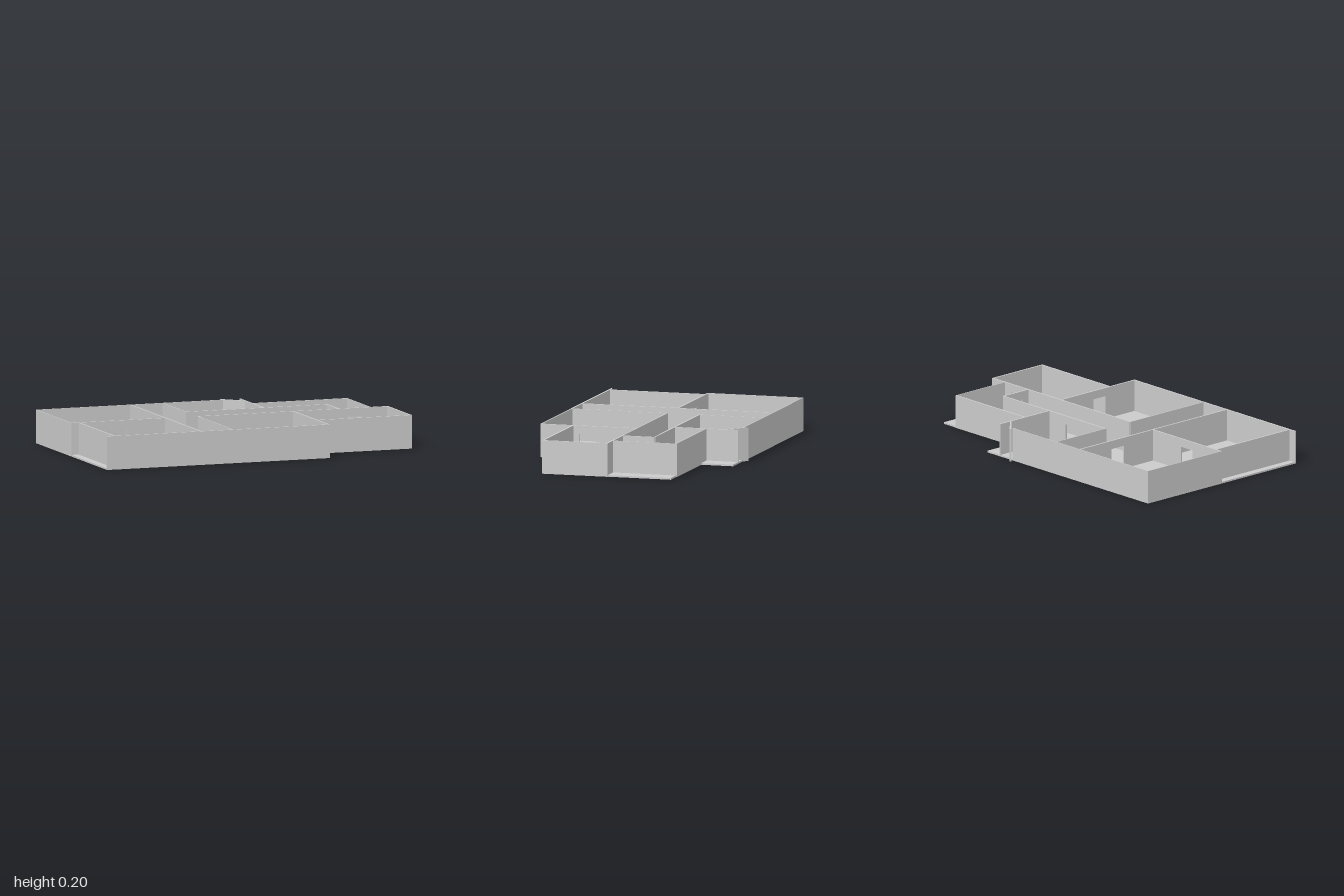
import * as THREE from 'three';

const HEIGHT = 0.2, DOOR_HEIGHT = 0.15, SLAB = 0.01;
const material = new THREE.MeshStandardMaterial({ color: 0xcccccc, flatShading: true });

// Upright panel from (x0, z0) to (x1, z1); door = [start, end] distances along it
function wall(name, x0, z0, x1, z1, thickness = 0.01, door = null) {
  const length = Math.hypot(x1 - x0, z1 - z0);
  const outline = [[0, 0]];
  if (door) outline.push([door[0], 0], [door[0], DOOR_HEIGHT], [door[1], DOOR_HEIGHT], [door[1], 0]);
  outline.push([length, 0], [length, HEIGHT], [0, HEIGHT]);
  const shape = new THREE.Shape(outline.map(([x, y]) => new THREE.Vector2(x, y)));
  const geometry = new THREE.ExtrudeGeometry(shape, { depth: thickness, bevelEnabled: false });
  geometry.translate(0, 0, -thickness / 2);
  const mesh = new THREE.Mesh(geometry, material);
  mesh.name = name;
  mesh.position.set(x0, 0, z0);
  mesh.rotation.y = -Math.atan2(z1 - z0, x1 - x0);
  return mesh;
}

export function createModel() {
  const house = new THREE.Group();
  house.name = 'floorPlanHouse';

  // Floor slab, outlined in x and z
  const outline = [[-1, -0.585], [0.4, -0.585], [0.4, -0.385], [0.995, -0.385],
    [0.995, 0.405], [0.4, 0.405], [0.4, 0.605], [-1, 0.605]];
  const shape = new THREE.Shape(outline.map(([x, z]) => new THREE.Vector2(x, -z)));
  const slab = new THREE.ExtrudeGeometry(shape, { depth: SLAB, bevelEnabled: false });
  slab.rotateX(-Math.PI / 2);
  const floor = new THREE.Mesh(slab, material);
  floor.name = 'floor';
  house.add(floor);

  const thin = 0.005, thick = 0.01;
  const walls = [
    // Outer walls
    ['backWall', -1, -0.583, 0.18, -0.583, thin],
    ['rightBackWall', -0.997, -0.585, -0.997, 0.01, thin],
    ['rightFrontWall', -0.95, 0, -0.95, 0.6, thick],
    ['frontWall', -1, 0.6, 0.405, 0.6, thick],
    ['frontStepWall', 0.403, 0.01, 0.403, 0.605, thick, [0.255, 0.355]],
    ['frontLeftWall', 0.4, 0.405, 1, 0.405, thick],
    ['leftWall', 0.995, 0.005, 0.995, 0.41, thick],
    ['leftBackWall', 0.888, -0.385, 0.888, 0.01, thin],
    ['backLeftWall', 0.288, -0.383, 0.89, -0.383, thick],
    ['entranceSideWall', 0.29, -0.585, 0.29, -0.185, thick],
    // Room dividers
    ['rightRoomDivider', -1, 0.005, -0.4, 0.005, thick, [0.247, 0.349]],
    ['hallRightWall', -0.403, -0.585, -0.403, 0.6, thick, [0.252, 0.354]],
    ['hallBackWall', -0.2, -0.585, -0.2, -0.185, thin],
    ['hallFrontWall', -0.2, 0.01, -0.2, 0.6, thin],
    ['corridorBackWall', -0.2, -0.188, 0.69, -0.188, thick, [0.24, 0.342]],
    ['corridorEndWall', 0.688, -0.19, 0.688, 0.01, thick, [0.05, 0.15]],
    ['corridorFrontWall', -0.2, 0.011, 1, 0.011, thick, [0.925, 1.03]],
    // Entrance door, standing ajar
    ['entranceDoor', 0.29, -0.497, 0.175, -0.607, thick],
  ];
  for (const spec of walls) house.add(wall(...spec));
  return house;
}
